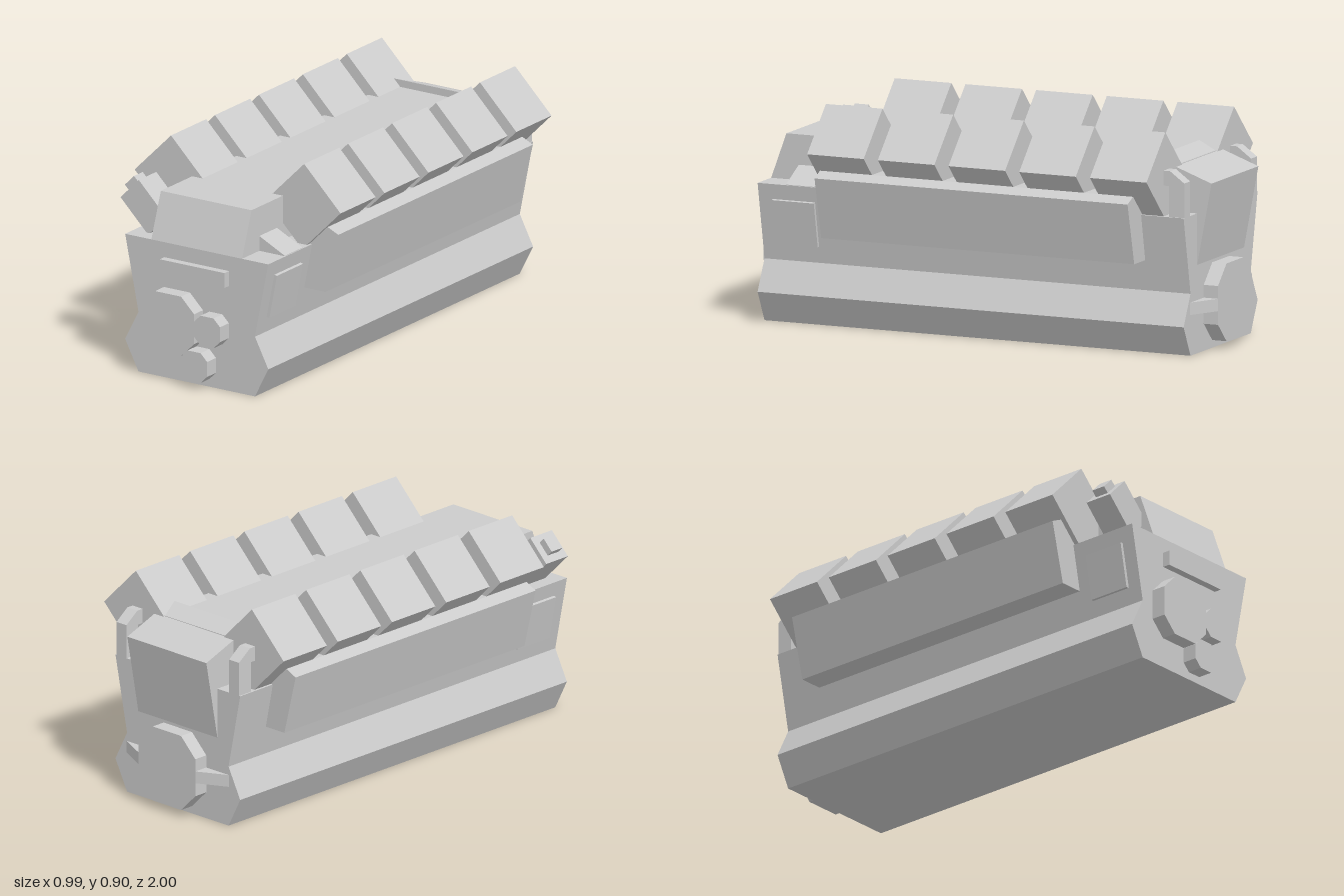
import * as THREE from 'three';

const material = new THREE.MeshStandardMaterial({ color: 0xcccccc, flatShading: true });

export function createModel() {
  const engine = new THREE.Group();
  engine.name = 'engine';

  const toShape = (points) => new THREE.Shape(points.map(([a, b]) => new THREE.Vector2(a, b)));
  const add = (name, geometry) => {
    const mesh = new THREE.Mesh(geometry, material);
    mesh.name = name;
    engine.add(mesh);
  };
  // Cross-section in x, y, running from z0 to z1
  const alongZ = (name, points, z0, z1) => {
    const g = new THREE.ExtrudeGeometry(toShape(points), { depth: z1 - z0, bevelEnabled: false });
    add(name, g.translate(0, 0, z0));
  };
  // Side profile in z, y, running from x0 to x1
  const alongX = (name, points, x0, x1) => {
    const shape = toShape(points.map(([z, y]) => [-z, y]));
    const g = new THREE.ExtrudeGeometry(shape, { depth: x1 - x0, bevelEnabled: false });
    add(name, g.rotateY(Math.PI / 2).translate(x0, 0, 0));
  };
  const flip = (points, s) => points.map(([x, y]) => [x * s, y]);
  // Square of half-size r with corners cut by c
  const octagon = (x, y, r, c = r / 2) => [
    [x - r, y - r + c], [x - r + c, y - r], [x + r - c, y - r], [x + r, y - r + c],
    [x + r, y + r - c], [x + r - c, y + r], [x - r + c, y + r], [x - r, y + r - c],
  ];

  // Waisted block and the raised valley cover
  const half = [[0.28, 0], [0.344, 0.125], [0.28, 0.25], [0.344, 0.565]];
  alongZ('block', [...half, ...flip(half, -1).reverse()], -0.937, 0.937);
  alongX('valleyCover', [[0.937, 0.56], [0.937, 0.565], [0.87, 0.75], [-0.84, 0.75], [-0.84, 0.56]], -0.218, 0.218);

  // Sloping rear housing
  alongX('rearHousing', [[-0.75, 0.56], [-0.75, 0.78], [-1, 0.69], [-0.93, 0.32], [-0.9, 0.32]], -0.218, 0.218);

  for (const s of [1, -1]) {
    const side = s > 0 ? 'left' : 'right';

    // Row of five tilted cylinder heads
    const head = flip([[0.32, 0.902], [0.495, 0.727], [0.311, 0.543], [0.136, 0.718]], s);
    for (let i = 0; i < 5; i++) {
      const z = -0.845 + i * 0.311;
      alongZ(side + 'CylinderHead' + (i + 1), head, z, z + 0.249);
    }

    // Long exhaust manifold below the heads
    alongZ(side + 'Manifold', flip([[0.29, 0.376], [0.408, 0.376], [0.47, 0.627], [0.42, 0.65], [0.3, 0.65]], s), -0.75, 0.627);

    // Raised inspection panel lying on the sloping wall
    alongZ(side + 'SidePanel', flip([[0.28, 0.32], [0.308, 0.317], [0.344, 0.5], [0.31, 0.507]], s), 0.69, 0.876);

    // Hooked bracket at the rear corner
    alongX(side + 'RearHook', [[-0.87, 0.55], [-0.87, 0.69], [-0.845, 0.69], [-0.845, 0.75], [-0.875, 0.75], [-0.937, 0.705], [-0.937, 0.55]],
      s > 0 ? 0.283 : -0.338, s > 0 ? 0.338 : -0.283);

    // Tapered rib beside the rear cover
    const rib = toShape([[0.14, 0.93], [0.14, 1], [0.157, 1], [0.283, 0.937], [0.27, 0.93]].map(([x, z]) => [s * x, z]));
    const ribGeometry = new THREE.ExtrudeGeometry(rib, { depth: 0.05, bevelEnabled: false });
    add(side + 'RearRib', ribGeometry.rotateX(-Math.PI / 2).translate(0, 0.165, 0));
  }

  // Octagonal rear cover
  alongZ('rearCover', octagon(0, 0.188, 0.157), -1, -0.92);

  // Front pulleys and the bar above them
  alongZ('largePulley', octagon(-0.095, 0.252, 0.125), 0.92, 1);
  alongZ('smallPulley', octagon(0.092, 0.252, 0.0625), 0.92, 1);
  alongZ('lowerPulley', octagon(0.03, 0.095, 0.0625), 0.92, 1);
  alongZ('frontBar', [[-0.156, 0.44], [0.156, 0.44], [0.156, 0.502], [-0.156, 0.502]], 0.92, 0.969);

  // Sloped wedge beside the valley cover
  alongZ('sideWedge', [[0.2, 0.555], [0.34, 0.555], [0.34, 0.567], [0.218, 0.627], [0.2, 0.627]], 0.69, 0.815);

  // Tilted filler neck with its cap
  alongZ('fillerNeck', [[-0.32, 0.778], [-0.408, 0.69], [-0.275, 0.557], [-0.187, 0.645]], 0.752, 0.876);
  alongZ('fillerCap', [[-0.364, 0.778], [-0.408, 0.734], [-0.375, 0.701], [-0.331, 0.745]], 0.783, 0.845);

  return engine;
}
